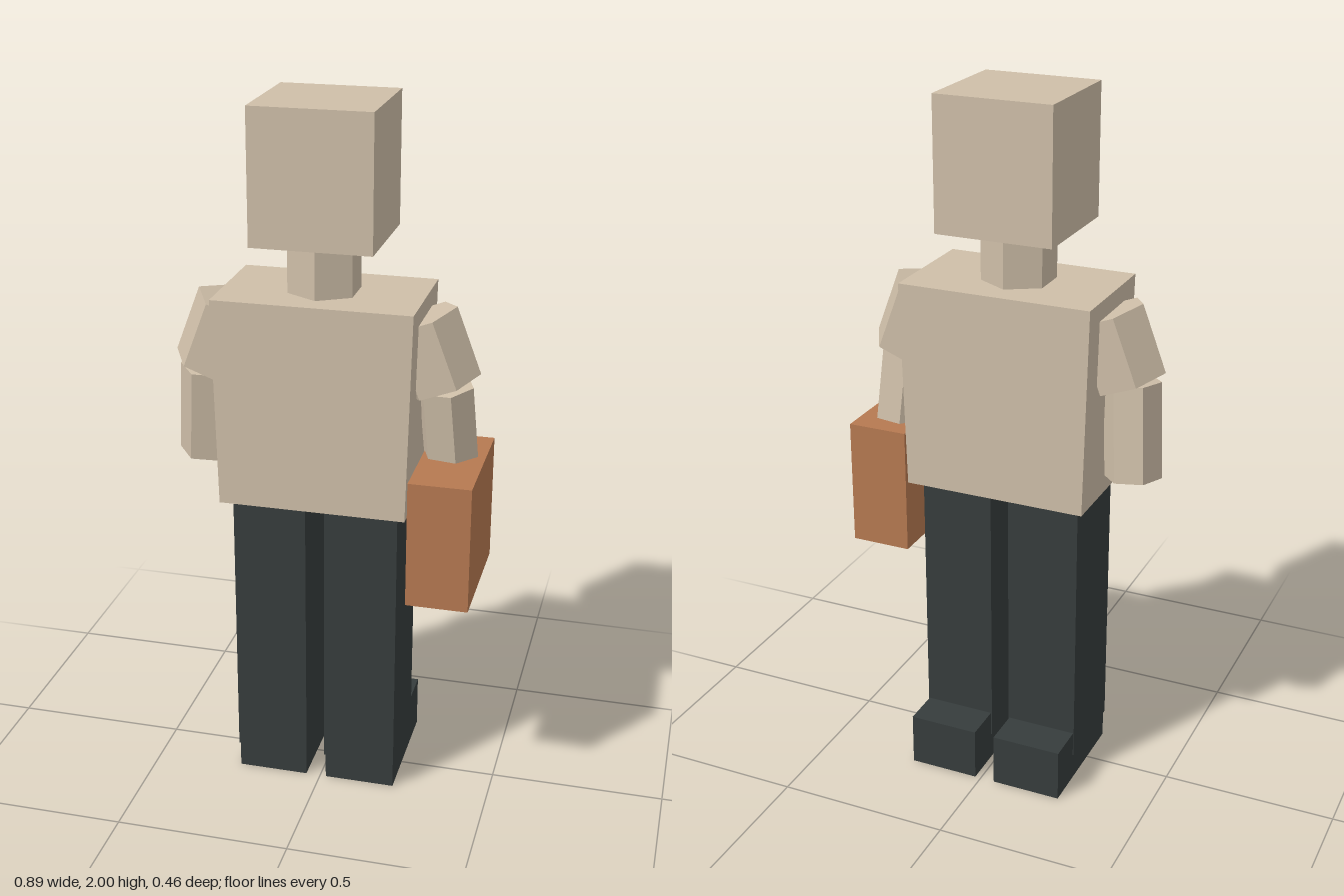
import * as THREE from 'three';

const MID = -0.0125; // symmetry plane of the body

const makeMaterial = (name, color) => {
  const m = new THREE.MeshStandardMaterial({ color, flatShading: true });
  m.name = name;
  return m;
};

export function createModel() {
  const root = new THREE.Group();
  root.name = 'blockFigure';
  const tan = makeMaterial('tan', 0xcebea8);
  const charcoal = makeMaterial('charcoal', 0x363c3c);
  const rust = makeMaterial('rust', 0xb67951);

  const add = (name, geometry, material) => {
    const mesh = new THREE.Mesh(geometry, material);
    mesh.name = name;
    root.add(mesh);
    return mesh;
  };

  // Box given by its limits on each axis
  const box = (name, material, [x0, x1], [y0, y1], [z0, z1]) => {
    const mesh = add(name, new THREE.BoxGeometry(x1 - x0, y1 - y0, z1 - z0), material);
    mesh.position.set((x0 + x1) / 2, (y0 + y1) / 2, (z0 + z1) / 2);
    return mesh;
  };

  // Six-sided prism from the top point to the bottom point, turned about its axis
  const prism = (name, top, bottom, radius, turn) => {
    const a = new THREE.Vector3(...top), b = new THREE.Vector3(...bottom);
    const axis = a.clone().sub(b);
    const geometry = new THREE.CylinderGeometry(radius, radius, axis.length(), 6);
    geometry.rotateY(THREE.MathUtils.degToRad(turn));
    const mesh = add(name, geometry, tan);
    mesh.position.copy(a).add(b).multiplyScalar(0.5);
    mesh.quaternion.setFromUnitVectors(new THREE.Vector3(0, 1, 0), axis.normalize());
  };

  // Head and neck
  box('head', tan, [-0.18, 0.155], [1.63, 2], [-0.155, 0.173]);
  prism('neck', [-0.015, 1.615, 0.012], [-0.015, 1.46, 0.012], 0.104, 0);

  // Torso, slightly narrower at the waist
  const torso = box('torso', tan, [-0.29, 0.265], [0.89, 1.48], [-0.16, 0.177]);
  const p = torso.geometry.attributes.position;
  for (let i = 0; i < p.count; i++) if (p.getY(i) < 0) p.setX(i, p.getX(i) * 0.95);

  for (const s of [1, -1]) {
    const side = s > 0 ? 'left' : 'right';
    const x = (d) => MID + s * d;

    // Arms
    prism(side + 'UpperArm', [x(0.2625), 1.422, 0.007], [x(0.3325), 1.237, 0.007], 0.107, 30);
    prism(side + 'Forearm', [x(0.338), 1.235, 0.012], [x(0.358), 0.966, -0.017], 0.08, 30 - s * 10);

    // Legs and feet
    const span = (a, b) => [x(a), x(b)].sort((m, n) => m - n);
    box(side + 'Leg', charcoal, span(0.027, 0.236), [0.08, 0.892], [-0.117, 0.138]);
    box(side + 'Foot', charcoal, span(0.03, 0.234), [0, 0.155], [-0.23, 0.131]);
  }

  // Case held in the left hand
  box('case', rust, [0.268, 0.442], [0.665, 1.03], [-0.143, 0.229]);

  return root;
}
